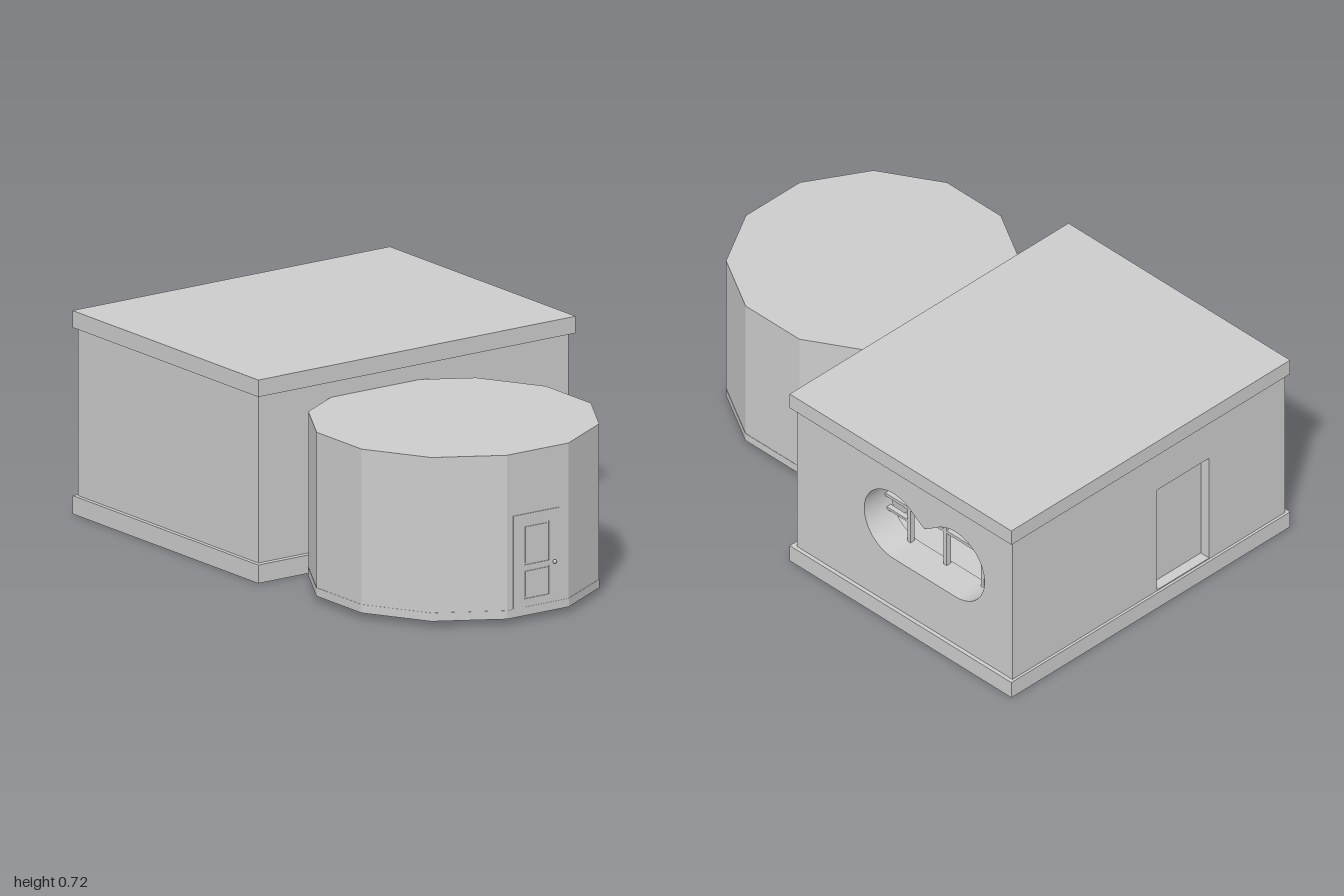
import * as THREE from 'three';

const mat = new THREE.MeshStandardMaterial({ color: 0xcccccc, flatShading: true });
const smooth = new THREE.MeshStandardMaterial({ color: 0xcccccc });

function add(parent, name, geometry, material = mat) {
  const mesh = new THREE.Mesh(geometry, material);
  mesh.name = name;
  parent.add(mesh);
  return mesh;
}

// Box given by its limits on each axis
function box(parent, name, [x0, x1], [y0, y1], [z0, z1]) {
  const mesh = add(parent, name, new THREE.BoxGeometry(x1 - x0, y1 - y0, z1 - z0));
  mesh.position.set((x0 + x1) / 2, (y0 + y1) / 2, (z0 + z1) / 2);
  return mesh;
}

function rect(Type, x0, x1, y0, y1) {
  const s = new Type();
  s.moveTo(x0, y0);
  s.lineTo(x1, y0);
  s.lineTo(x1, y1);
  s.lineTo(x0, y1);
  s.closePath();
  return s;
}

const W = 0.655, BACK = -0.99, FRONT = 0.05, THICK = 0.13, FLOOR = 0.065, CEIL = 0.66;

// Window outline: flat sill, two round lobes and a pointed dip between them
function windowHole() {
  const a = 0.415, b = 0.715, mid = 0.565, y = 0.41, r = 0.14;
  const p = new THREE.Path();
  p.moveTo(a, y - r);
  p.lineTo(b, y - r);
  p.absarc(b, y, r, -Math.PI / 2, Math.PI / 2, false);
  p.bezierCurveTo(b - 0.07, y + r, mid + 0.05, 0.505, mid, 0.48);
  p.bezierCurveTo(mid - 0.05, 0.505, a + 0.07, y + r, a, y + r);
  p.absarc(a, y, r, Math.PI / 2, Math.PI * 1.5, false);
  return p;
}

function createHall() {
  const hall = new THREE.Group();
  hall.name = 'hall';
  box(hall, 'baseSlab', [-0.67, 0.67], [0, FLOOR], [-1, 0.07]);
  box(hall, 'roofSlab', [-0.67, 0.67], [CEIL, 0.72], [-1, 0.07]);
  box(hall, 'frontWall', [-W, W - THICK], [FLOOR, CEIL], [FRONT - THICK, FRONT]);
  box(hall, 'rightWall', [-W, -W + THICK], [FLOOR, CEIL], [BACK + THICK, FRONT - THICK]);

  // Wall with the window, drawn with -z as its horizontal axis
  const side = rect(THREE.Shape, -FRONT, -BACK, FLOOR, CEIL);
  side.holes.push(windowHole());
  const windowWall = add(hall, 'windowWall',
    new THREE.ExtrudeGeometry(side, { depth: THICK, bevelEnabled: false, curveSegments: 20 }));
  windowWall.rotation.y = Math.PI / 2;
  windowWall.position.x = W - THICK;

  // Window bars near the inner face of the wall
  const bars = new THREE.Group();
  bars.name = 'windowBars';
  hall.add(bars);
  const bx = [0.535, 0.555], t = 0.007;
  for (const [z, top] of [[-0.39, 0.55], [-0.565, 0.485], [-0.745, 0.55]])
    box(bars, 'uprightBar', bx, [0.265, top], [z - t, z + t]);
  box(bars, 'crossBar', bx, [0.409, 0.421], [-0.86, -0.27]);
  for (const y of [0.36, 0.455])
    box(bars, 'shortBar', bx, [y - 0.005, y + 0.005], [-0.39, -0.28]);

  // Back wall with a recessed door
  const back = rect(THREE.Shape, -W, W - THICK, FLOOR, CEIL);
  back.holes.push(rect(THREE.Path, -0.29, -0.04, FLOOR + 0.004, 0.5));
  add(hall, 'backWall', new THREE.ExtrudeGeometry(back, { depth: THICK, bevelEnabled: false }))
    .position.z = BACK;
  box(hall, 'backDoor', [-0.295, -0.035], [FLOOR, 0.505], [BACK + 0.04, BACK + 0.07]);
  return hall;
}

function createTower() {
  const tower = new THREE.Group();
  tower.name = 'tower';
  const apothem = 0.485, sides = 12;
  const prism = (name, y0, y1, a) => {
    const r = a / Math.cos(Math.PI / sides);
    add(tower, name, new THREE.CylinderGeometry(r, r, y1 - y0, sides, 1, false, Math.PI / sides))
      .position.y = (y0 + y1) / 2;
  };
  prism('towerBase', 0.02, 0.05, apothem);
  prism('towerBody', 0.05, 0.6, apothem - 0.001);

  // Panelled front door, almost flush with the wall
  const door = new THREE.Group();
  door.name = 'frontDoor';
  door.position.z = apothem;
  tower.add(door);
  const z = [-0.02, 0.002];
  const leaf = rect(THREE.Shape, -0.105, 0.09, 0.051, 0.38);
  const panels = [[0.2, 0.34], [0.08, 0.183]];
  for (const [y0, y1] of panels) leaf.holes.push(rect(THREE.Path, -0.06, 0.045, y0, y1));
  add(door, 'doorLeaf', new THREE.ExtrudeGeometry(leaf, { depth: z[1] - z[0], bevelEnabled: false }))
    .position.z = z[0];
  for (const [y0, y1] of panels)
    box(door, 'doorPanel', [-0.054, 0.039], [y0 + 0.006, y1 - 0.006], z);
  const stem = add(door, 'knobStem', new THREE.CylinderGeometry(0.003, 0.003, 0.01, 10), smooth);
  stem.rotation.x = Math.PI / 2;
  stem.position.set(0.065, 0.193, 0.004);
  add(door, 'knob', new THREE.SphereGeometry(0.007, 14, 10), smooth).position.set(0.065, 0.193, 0.008);

  tower.position.set(-0.16, 0, 0.5);
  return tower;
}

export function createModel() {
  const model = new THREE.Group();
  model.name = 'building';
  model.add(createHall(), createTower());
  return model;
}
